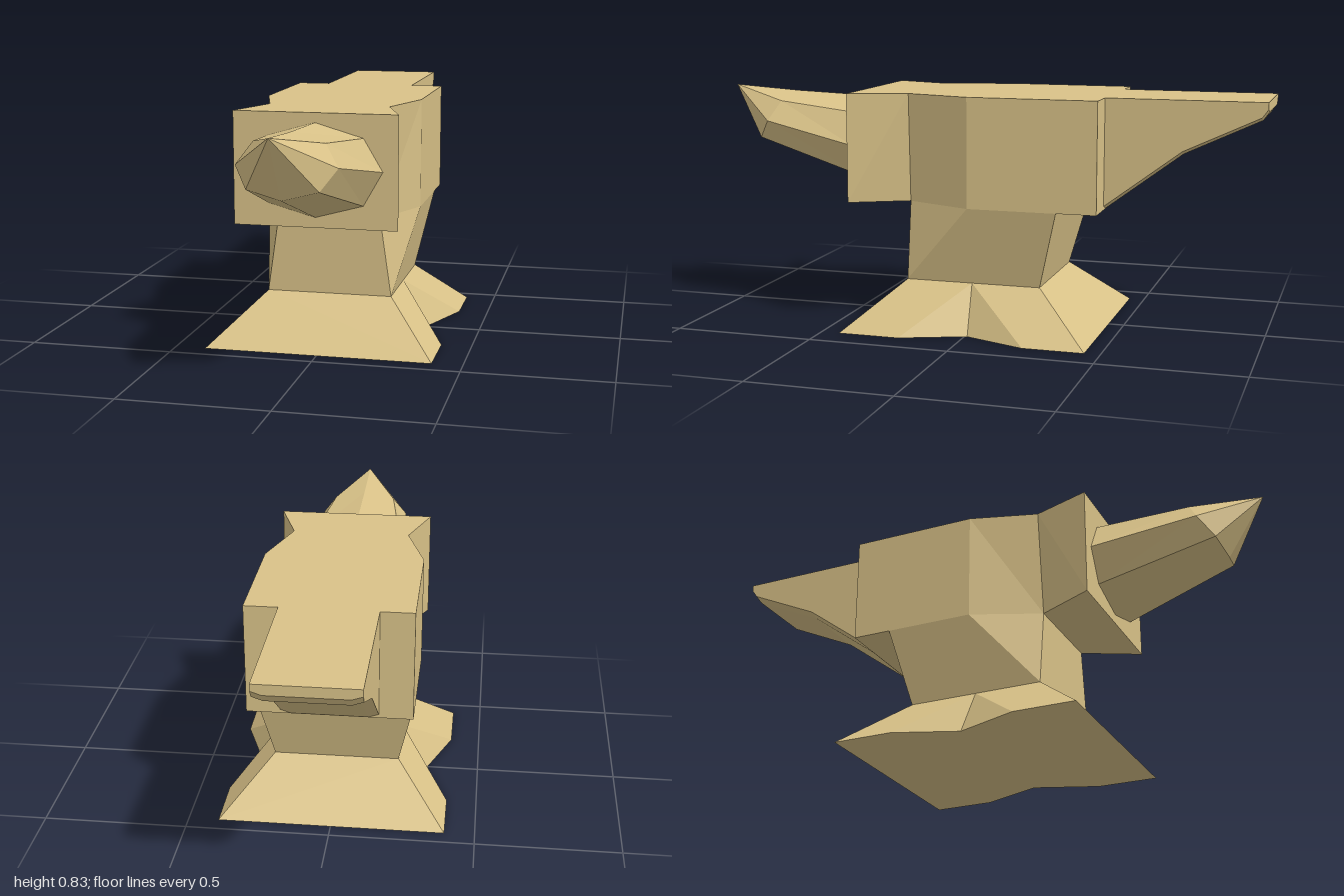
import * as THREE from 'three';

// Mirrors a half cross-section (points on +x, listed so the full ring is counter-clockwise).
const mirror = (half) => [...half, ...half.map(([x, y, z]) => [-x, y, z]).reverse()];

// Skins mirrored cross-sections listed along +y or +z, and caps both ends.
function loft(halves, axis) {
  const rings = halves.map(mirror);
  const pos = [];
  const tri = (...pts) => {
    const [a, b, c] = pts.map((p) => new THREE.Vector3(...p));
    const area = b.clone().sub(a).cross(c.clone().sub(a)).length();
    if (area > 1e-7) pts.forEach((p) => pos.push(...p));
  };
  for (let r = 0; r < rings.length - 1; r++) {
    const a = rings[r], b = rings[r + 1], n = a.length;
    for (let i = 0; i < n; i++) {
      const j = (i + 1) % n;
      if (i < n / 2) {
        tri(a[i], a[j], b[j]);
        tri(a[i], b[j], b[i]);
      } else { // mirrored diagonal on the other side
        tri(a[i], a[j], b[i]);
        tri(a[j], b[j], b[i]);
      }
    }
  }
  const cap = (ring, flip) => {
    const flat = ring.map(([x, y, z]) => new THREE.Vector2(x, axis === 'y' ? -z : y));
    for (const [a, b, c] of THREE.ShapeUtils.triangulateShape(flat, [])) {
      if (flip) tri(ring[a], ring[c], ring[b]);
      else tri(ring[a], ring[b], ring[c]);
    }
  };
  cap(rings[0], true);
  if (axis === 'y') cap(rings[rings.length - 1], false);
  const geo = new THREE.BufferGeometry();
  geo.setAttribute('position', new THREE.Float32BufferAttribute(pos, 3));
  geo.computeVertexNormals();
  return geo;
}

// Horizontal section at height y from [x, z] pairs, front to back.
const level = (y, pts) => pts.map(([x, z]) => [x, y, z]);

export function createModel() {
  const model = new THREE.Group();
  model.name = 'anvil';
  const metal = new THREE.MeshStandardMaterial({ color: 0xd9c288, flatShading: true });
  metal.name = 'sand metal';
  const add = (name, geo) => {
    const mesh = new THREE.Mesh(geo, metal);
    mesh.name = name;
    model.add(mesh);
  };

  // Flared foot with waisted sides
  add('foot', loft([
    level(0, [[0.395, 0.435], [0.395, 0.215], [0.31, -0.01], [0.395, -0.23], [0.395, -0.445]]),
    level(0.17, [[0.22, 0.24], [0.22, 0], [0.22, 0], [0.22, 0], [0.22, -0.245]]),
  ], 'y'));

  // Column widening toward the body
  add('column', loft([
    level(0.17, [[0.22, 0.24], [0.22, 0], [0.22, -0.245]]),
    level(0.445, [[0.18, 0.24], [0.28, 0], [0.28, -0.315]]),
  ], 'y'));

  // Body, pinched behind its front plate
  add('body', loft([
    level(0.445, [[0.28, 0.44], [0.18, 0.24], [0.28, 0], [0.28, -0.455]]),
    level(0.83, [[0.28, 0.44], [0.21, 0.235], [0.28, 0], [0.28, -0.455]]),
  ], 'y'));

  // Heel: flat top, underside rising to a thin end
  const heelProfile = [[-1, 0.795], [-0.98, 0.767], [-0.72, 0.645], [-0.455, 0.446]];
  add('heel', loft(heelProfile.map(([z, y]) => [
    [0.13, y, z], [0.165, y + 0.012, z], [0.165, 0.83, z],
  ]), 'z'));

  // Eight-sided horn with an upturned tip
  const tip = [0, 0.825, 1];
  add('horn', loft([
    [[0, 0.48, 0.44], [0.163, 0.525, 0.44], [0.228, 0.64, 0.44], [0.163, 0.75, 0.44], [0, 0.797, 0.44]],
    [[0, 0.615, 0.865], [0.115, 0.643, 0.85], [0.163, 0.71, 0.8], [0.115, 0.78, 0.765], [0, 0.809, 0.75]],
    [tip, tip, tip, tip, tip],
  ], 'z'));

  return model;
}
